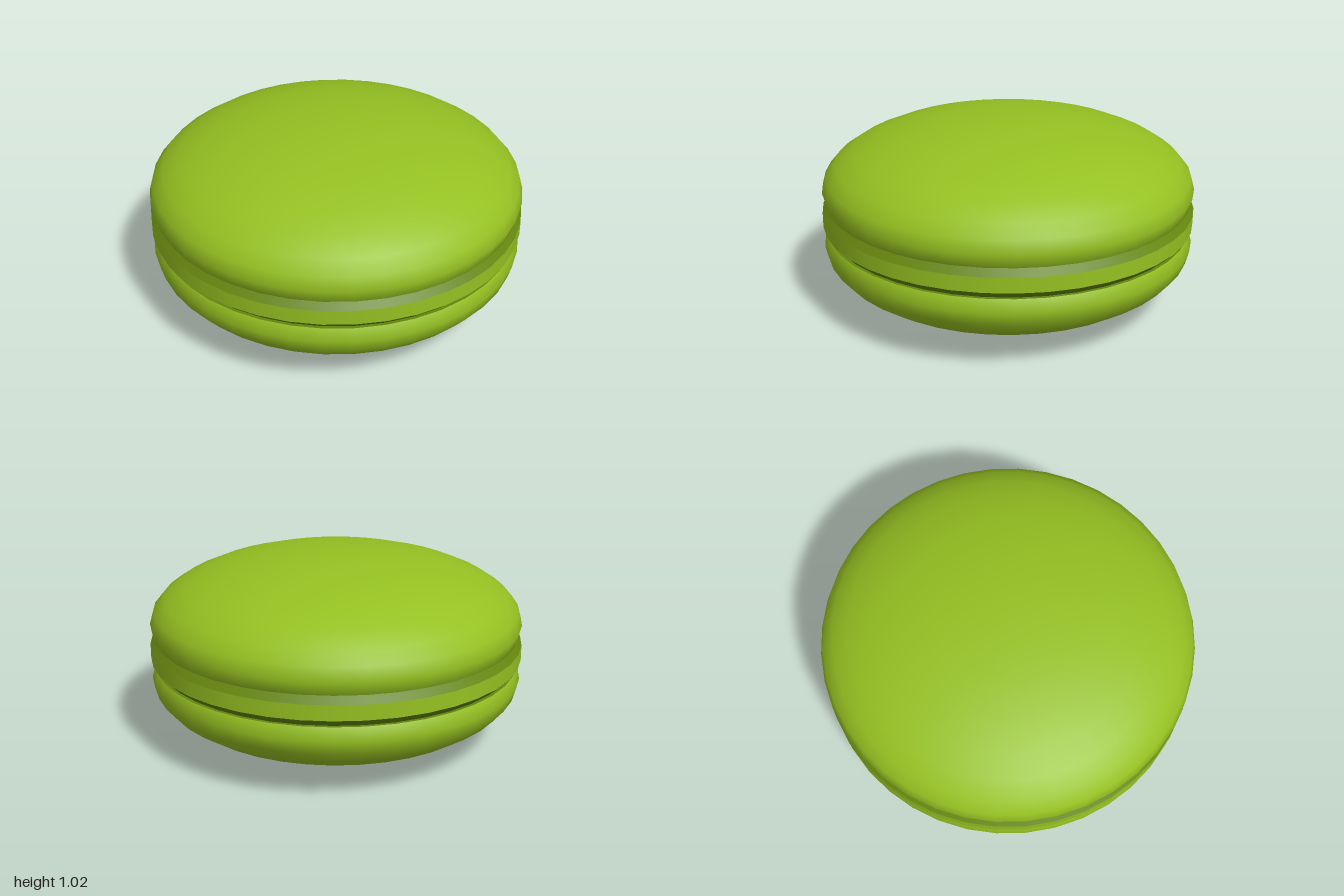
import * as THREE from 'three';

export function createModel() {
  const group = new THREE.Group();
  const MID = 0.508; // height of the symmetry plane
  const SEGMENTS = 40;
  const green = new THREE.MeshStandardMaterial({ color: 0x95c021 });
  green.name = 'pistachio green';
  const dark = new THREE.MeshStandardMaterial({ color: 0x64850f });
  dark.name = 'dark green';

  const add = (name, geometry, material, parent) => {
    const mesh = new THREE.Mesh(geometry, material);
    mesh.name = name;
    parent.add(mesh);
    return mesh;
  };

  // Shared shapes: a flattened dome reaching just past its equator, its flat underside, and a bevel
  const R = 0.997, H = 0.358, CENTRE = 0.15;
  const cut = THREE.MathUtils.degToRad(101.25);
  const dome = new THREE.SphereGeometry(1, SEGMENTS, 9, 0, Math.PI * 2, 0, cut)
    .scale(R, H, R).translate(0, CENTRE, 0);
  const underside = new THREE.CircleGeometry(R * Math.sin(cut), SEGMENTS)
    .rotateX(Math.PI / 2).translate(0, CENTRE + H * Math.cos(cut), 0);
  const bevel = new THREE.CylinderGeometry(0.95, 1, 0.05, SEGMENTS, 1, true)
    .translate(0, 0.065, 0);

  // Upper and lower halves; the lower one is turned over
  for (const [prefix, turn] of [['upper', 0], ['lower', Math.PI]]) {
    const half = new THREE.Group();
    half.name = prefix + 'Half';
    half.position.y = MID;
    half.rotation.x = turn;
    add(prefix + 'Shell', dome, green, half);
    add(prefix + 'ShellUnderside', underside, dark, half);
    add(prefix + 'FillingBevel', bevel, dark, half);
    group.add(half);
  }

  // Straight outer band of the filling
  const band = new THREE.CylinderGeometry(1, 1, 0.08, SEGMENTS, 1, true);
  add('fillingBand', band, green, group).position.y = MID;

  return group;
}
